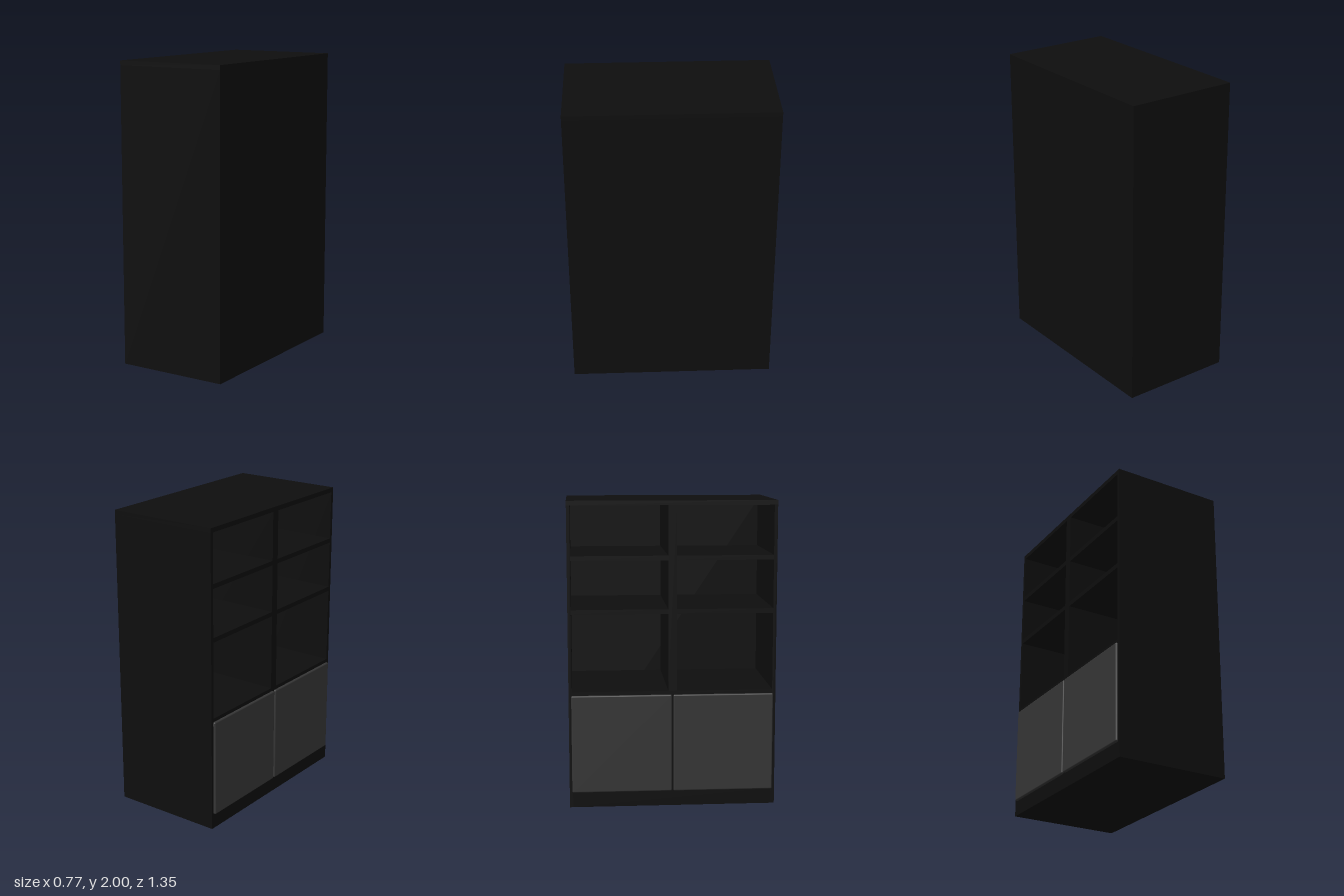
import * as THREE from 'three';
import { RoundedBoxGeometry } from 'three/addons/geometries/RoundedBoxGeometry.js';

// Tall bookcase with open bays above two doors; its open side faces -x.
const HEIGHT = 2, HALF_WIDTH = 0.675, OPEN_X = -0.37, BACK_X = 0.385;
const SIDE = 0.022, BOARD = 0.03, DIVIDER = 0.056, BACK = 0.02;

export function createModel() {
  const group = new THREE.Group();
  const black = new THREE.MeshStandardMaterial({ color: 0x0e0e0e });
  const charcoal = new THREE.MeshStandardMaterial({ color: 0x363636 });

  // A board given by its lower and upper limits on each axis
  function board(name, [x0, x1], [y0, y1], [z0, z1]) {
    const mesh = new THREE.Mesh(new THREE.BoxGeometry(x1 - x0, y1 - y0, z1 - z0), black);
    mesh.position.set((x0 + x1) / 2, (y0 + y1) / 2, (z0 + z1) / 2);
    mesh.name = name;
    group.add(mesh);
  }

  const depth = [OPEN_X, BACK_X];
  const innerDepth = [OPEN_X, BACK_X - BACK];
  const innerHalf = HALF_WIDTH - SIDE;
  const inner = [-innerHalf, innerHalf];

  // Carcass
  board('topPanel', depth, [HEIGHT - BOARD, HEIGHT], [-HALF_WIDTH, HALF_WIDTH]);
  board('sidePanelFront', depth, [0, HEIGHT - BOARD], [innerHalf, HALF_WIDTH]);
  board('sidePanelBack', depth, [0, HEIGHT - BOARD], [-HALF_WIDTH, -innerHalf]);
  board('rearPanel', [BACK_X - BACK, BACK_X], [0, HEIGHT - BOARD], inner);
  board('plinth', innerDepth, [0, 0.1], inner);
  board('cupboardTop', innerDepth, [0.735, 0.77], inner);

  // Upright between the two columns of bays
  board('divider', innerDepth, [0.77, HEIGHT - BOARD], [-DIVIDER / 2, DIVIDER / 2]);
  board('cupboardDivider', innerDepth, [0.1, 0.735], [-DIVIDER / 2, DIVIDER / 2]);

  // Shelves, mirrored about the divider
  for (const side of [-1, 1]) {
    const span = [side * DIVIDER / 2, side * innerHalf].sort((a, b) => a - b);
    for (const top of [1.65, 1.305]) board('shelf', innerDepth, [top - BOARD, top], span);
  }

  // Pair of doors with softened edges, standing just proud of the carcass
  for (const side of [-1, 1]) {
    const door = new THREE.Mesh(new RoundedBoxGeometry(0.03, 0.645, 0.653, 3, 0.009), charcoal);
    door.position.set(-0.37, 0.4235, side * 0.3315);
    door.name = side > 0 ? 'doorFront' : 'doorBack';
    group.add(door);
  }

  return group;
}
